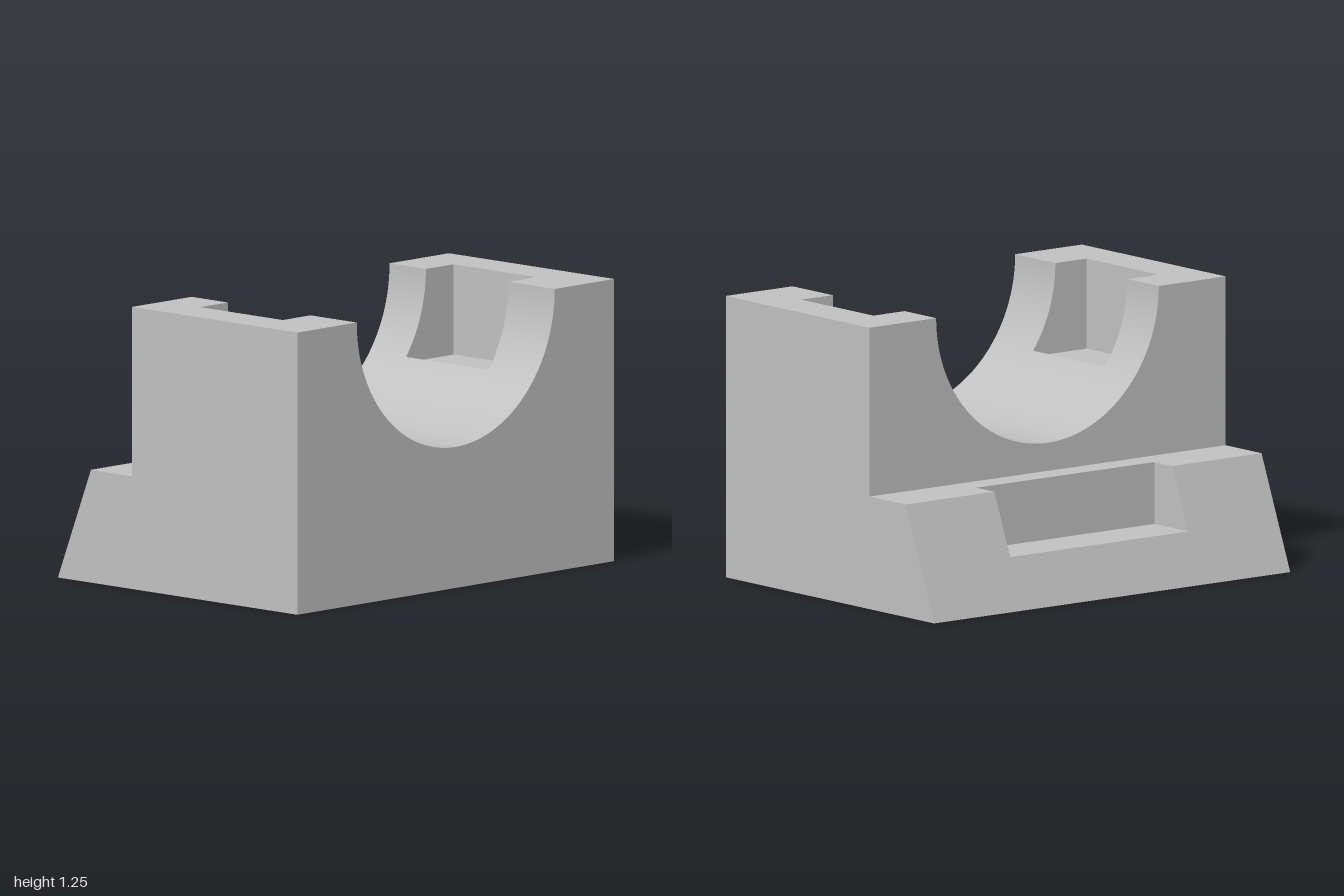
import * as THREE from 'three';
import { toCreasedNormals } from 'three/addons/utils/BufferGeometryUtils.js';

const HEIGHT = 1.25, RADIUS = 0.625;

// Cross-section of the cradle in the z-y plane, with or without side pockets
function cradleProfile(pocketed) {
  const s = new THREE.Shape();
  const a = pocketed ? Math.acos(0.5 / RADIUS) : 0;
  s.moveTo(-1, 0);
  s.lineTo(1, 0);
  s.lineTo(1, HEIGHT);
  if (pocketed) {
    s.lineTo(0.8, HEIGHT);
    s.lineTo(0.8, 0.85);
    s.lineTo(0.5, 0.85);
  }
  s.absarc(0, HEIGHT, RADIUS, -a, -Math.PI + a, true);
  if (pocketed) {
    s.lineTo(-0.5, 0.85);
    s.lineTo(-0.8, 0.85);
    s.lineTo(-0.8, HEIGHT);
  }
  s.lineTo(-1, HEIGHT);
  s.closePath();
  return s;
}

// Cross-section of the sloped ledge in the x-y plane
function ledgeProfile(pocketed) {
  const notch = [[-0.4, 0.5], [-0.4, 0.225], [-0.635, 0.225]];
  const points = [[-0.725, 0], [-0.275, 0], [-0.275, 0.5], ...(pocketed ? notch : [[-0.525, 0.5]])];
  return new THREE.Shape(points.map(([x, y]) => new THREE.Vector2(x, y)));
}

function extrude(shape, depth) {
  return new THREE.ExtrudeGeometry(shape, { depth, bevelEnabled: false, curveSegments: 64 });
}

export function createModel() {
  const model = new THREE.Group();
  model.name = 'bearingCradle';
  const grey = new THREE.MeshStandardMaterial({ color: 0xc0c0c0 });
  grey.name = 'light grey';

  const add = (name, geometry) => {
    const mesh = new THREE.Mesh(toCreasedNormals(geometry, 0.4), grey);
    mesh.name = name;
    model.add(mesh);
  };

  // Cradle block, in slices along x
  for (const [name, x0, x1, pocketed] of [
    ['cradleInnerEnd', -0.275, -0.055, false],
    ['cradlePocketSection', -0.055, 0.445, true],
    ['cradleOuterEnd', 0.445, 0.725, false],
  ]) {
    add(name, extrude(cradleProfile(pocketed), x1 - x0).rotateY(Math.PI / 2).translate(x0, 0, 0));
  }

  // Sloped ledge, in slices along z
  for (const [name, z0, z1, pocketed] of [
    ['ledgeBackEnd', -1, -0.5, false],
    ['ledgePocketSection', -0.5, 0.5, true],
    ['ledgeFrontEnd', 0.5, 1, false],
  ]) {
    add(name, extrude(ledgeProfile(pocketed), z1 - z0).translate(0, 0, z0));
  }

  return model;
}
